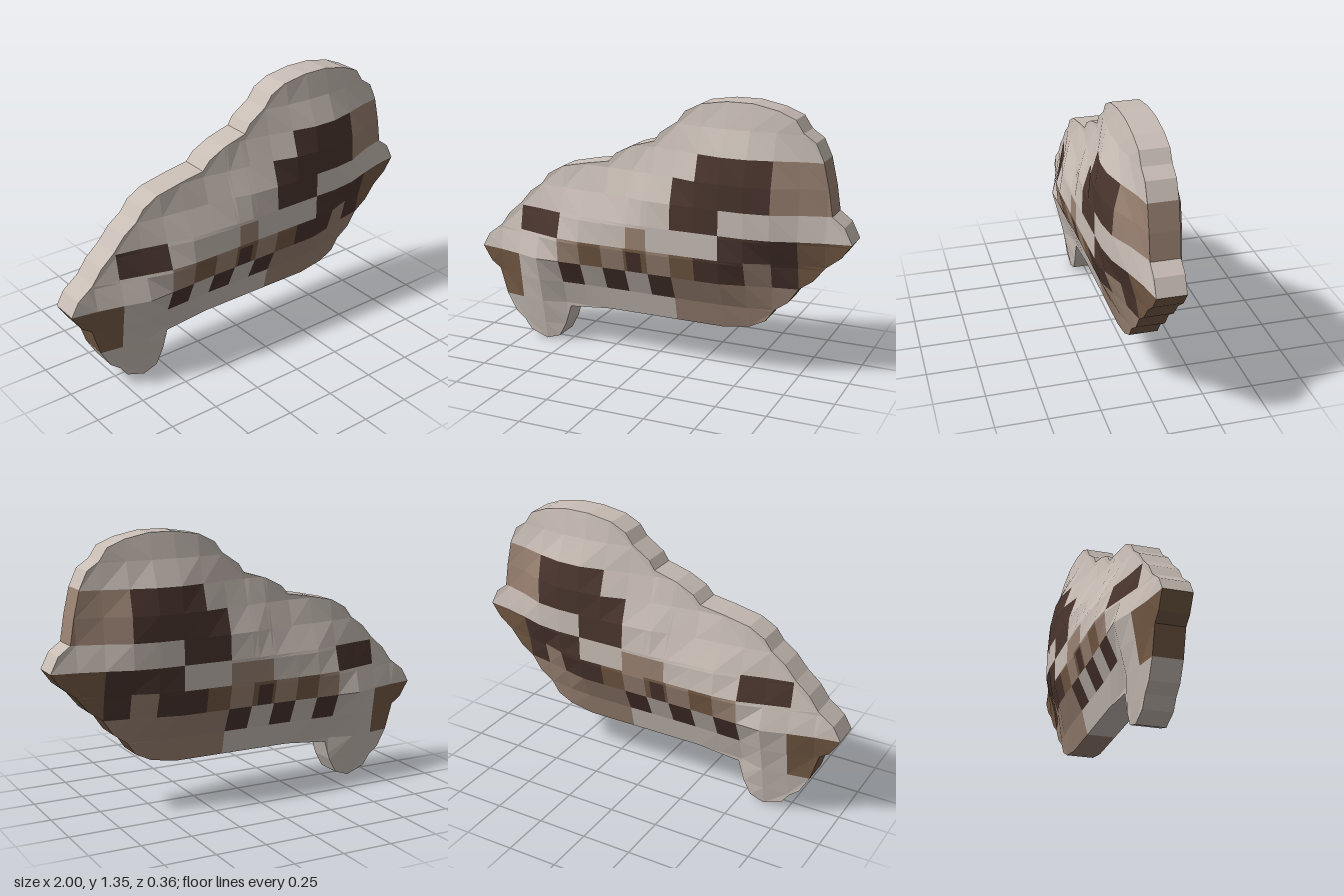
import * as THREE from 'three';

// Silhouette, clockwise from the left tip
const OUTLINE = [
  [-1, .47], [-.96, .54], [-.88, .6], [-.83, .67], [-.76, .73], [-.7, .8], [-.63, .85], [-.59, .905], [-.51, .95],
  [-.37, .98], [-.25, 1], [-.21, 1.045], [-.12, 1.09], [0, 1.125], [.03, 1.17], [.12, 1.23], [.16, 1.285],
  [.24, 1.325], [.37, 1.345], [.5, 1.345], [.625, 1.32], [.71, 1.285], [.75, 1.225], [.81, 1.185], [.85, 1.1],
  [.88, .97], [.9, .845], [.96, .8], [1, .72], [.95, .65], [.88, .595], [.82, .52], [.75, .47], [.7, .395],
  [.63, .345], [.59, .285], [.51, .245], [.38, .222], [.125, .222], [-.25, .222], [-.48, .2], [-.51, .1],
  [-.55, .025], [-.625, 0], [-.72, .035], [-.76, .09], [-.81, .13], [-.86, .22], [-.9, .355], [-.95, .39],
];
const EDGE = 0.07, BULGE = 0.11, REACH = 0.36;

const COLORS = { cream: 0xc8bdb5, tan: 0x9a8272, brown: 0x765b46, darkBrown: 0x4a352e };

// Colour patches as [colour, x0, x1, y0, y1]; later ones win
const PATCHES = [
  ['brown', -1, -.75, .22, .47],
  ['tan', .125, 1, .2, .47],
  ['brown', .75, 1, .47, .72],
  ['tan', .625, 1, .845, 1.097],
  ['darkBrown', .25, .625, .845, 1.097], ['darkBrown', .125, .375, .72, .97],
  ['darkBrown', -.75, -.5, .595, .72],
  ['darkBrown', .375, .75, .595, .72], ['darkBrown', .25, .75, .47, .595],
  ['tan', .5, .625, .47, .595],
  ['tan', -.5, .125, .47, .595],
  ['brown', -.375, -.25, .47, .595], ['brown', -.125, 0, .47, .595], ['brown', .125, .25, .47, .595],
  ['darkBrown', -.11, -.03, .47, .58],
  ['darkBrown', -.5, -.375, .345, .47], ['darkBrown', -.25, -.125, .345, .47], ['darkBrown', 0, .125, .345, .47],
];
const ARCH = { front: ['tan', -.11, 0, .595, .705], back: ['tan', -.11, .125, .595, .705] };

function colorAt(x, y, side) {
  let color = 'cream';
  for (const [c, x0, x1, y0, y1] of [...PATCHES, ...(ARCH[side] ? [ARCH[side]] : [])]) {
    if (x >= x0 && x <= x1 && y >= y0 && y <= y1) color = c;
  }
  return color;
}

// Half thickness grows with distance from the silhouette
function depthAt(x, y) {
  let d = Infinity;
  OUTLINE.forEach(([ax, ay], i) => {
    const [bx, by] = OUTLINE[(i + 1) % OUTLINE.length];
    const ex = bx - ax, ey = by - ay;
    const t = THREE.MathUtils.clamp(((x - ax) * ex + (y - ay) * ey) / (ex * ex + ey * ey), 0, 1);
    d = Math.min(d, Math.hypot(x - ax - ex * t, y - ay - ey * t));
  });
  return EDGE + BULGE * THREE.MathUtils.smoothstep(d, 0, REACH);
}

// Keep the part of a polygon where sign * (p[axis] - limit) >= 0
function clip(poly, axis, limit, sign) {
  const out = [];
  poly.forEach((p, i) => {
    const q = poly[(i + 1) % poly.length];
    const a = sign * (p[axis] - limit), b = sign * (q[axis] - limit);
    if (a >= 0) out.push(p);
    if ((a > 0 && b < 0) || (a < 0 && b > 0)) {
      const t = a / (a - b);
      const r = [p[0] + (q[0] - p[0]) * t, p[1] + (q[1] - p[1]) * t];
      r[axis] = limit;
      out.push(r);
    }
  });
  return out;
}

// Grid lines, with extra cuts for the small arch
function gridLines(start, count, extras) {
  const lines = Array.from({ length: count }, (_, i) => start + i * 0.125);
  return [...lines, ...extras].sort((a, b) => a - b);
}

export function createModel() {
  const model = new THREE.Group();
  model.name = 'body';
  const materials = {};
  for (const [name, color] of Object.entries(COLORS)) {
    materials[name] = new THREE.MeshStandardMaterial({ color });
    materials[name].name = name;
  }
  const buckets = { front: {}, back: {}, rim: {} };
  const add = (part, color, ...points) => (buckets[part][color] ??= []).push(...points.flat());

  // Bulging front and back faces, cut into grid cells
  const xs = gridLines(-1, 17, [-.11, -.03]);
  const ys = gridLines(-.03, 12, [.58, .705]);
  for (let i = 0; i < xs.length - 1; i++) {
    for (let j = 0; j < ys.length - 1; j++) {
      let poly = clip(clip(OUTLINE, 0, xs[i], 1), 0, xs[i + 1], -1);
      poly = clip(clip(poly, 1, ys[j], 1), 1, ys[j + 1], -1);
      poly = poly.filter((p, k) => {
        const q = poly[(k + 1) % poly.length];
        return Math.hypot(p[0] - q[0], p[1] - q[1]) > 1e-6;
      });
      if (poly.length < 3) continue;
      const points = poly.map(([x, y]) => new THREE.Vector2(x, y));
      const cx = (xs[i] + xs[i + 1]) / 2, cy = (ys[j] + ys[j + 1]) / 2;
      for (const tri of THREE.ShapeUtils.triangulateShape(points, [])) {
        let [a, b, c] = tri.map((k) => points[k]);
        const area = (b.x - a.x) * (c.y - a.y) - (b.y - a.y) * (c.x - a.x);
        if (Math.abs(area) < 1e-9) continue;
        if (area < 0) [b, c] = [c, b];
        const at = (p, s) => [p.x, p.y, s * depthAt(p.x, p.y)];
        add('front', colorAt(cx, cy, 'front'), at(a, 1), at(b, 1), at(c, 1));
        add('back', colorAt(cx, cy, 'back'), at(a, -1), at(c, -1), at(b, -1));
      }
    }
  }

  // Flat rim around the silhouette
  OUTLINE.forEach(([ax, ay], i) => {
    const [bx, by] = OUTLINE[(i + 1) % OUTLINE.length];
    const mx = (ax + bx) / 2, my = (ay + by) / 2;
    const color = mx > .45 && my < .72 ? 'brown' : colorAt(mx, my, 'rim');
    const a = [ax, ay, EDGE], b = [bx, by, EDGE], c = [bx, by, -EDGE], d = [ax, ay, -EDGE];
    add('rim', color, a, b, c, a, c, d);
  });

  // One mesh per part and colour, with faceted normals
  for (const [part, colors] of Object.entries(buckets)) {
    const group = new THREE.Group();
    group.name = part;
    for (const [color, positions] of Object.entries(colors)) {
      const geometry = new THREE.BufferGeometry();
      geometry.setAttribute('position', new THREE.Float32BufferAttribute(positions, 3));
      geometry.computeVertexNormals();
      const mesh = new THREE.Mesh(geometry, materials[color]);
      mesh.name = `${part} ${color} patches`;
      group.add(mesh);
    }
    model.add(group);
  }
  return model;
}
